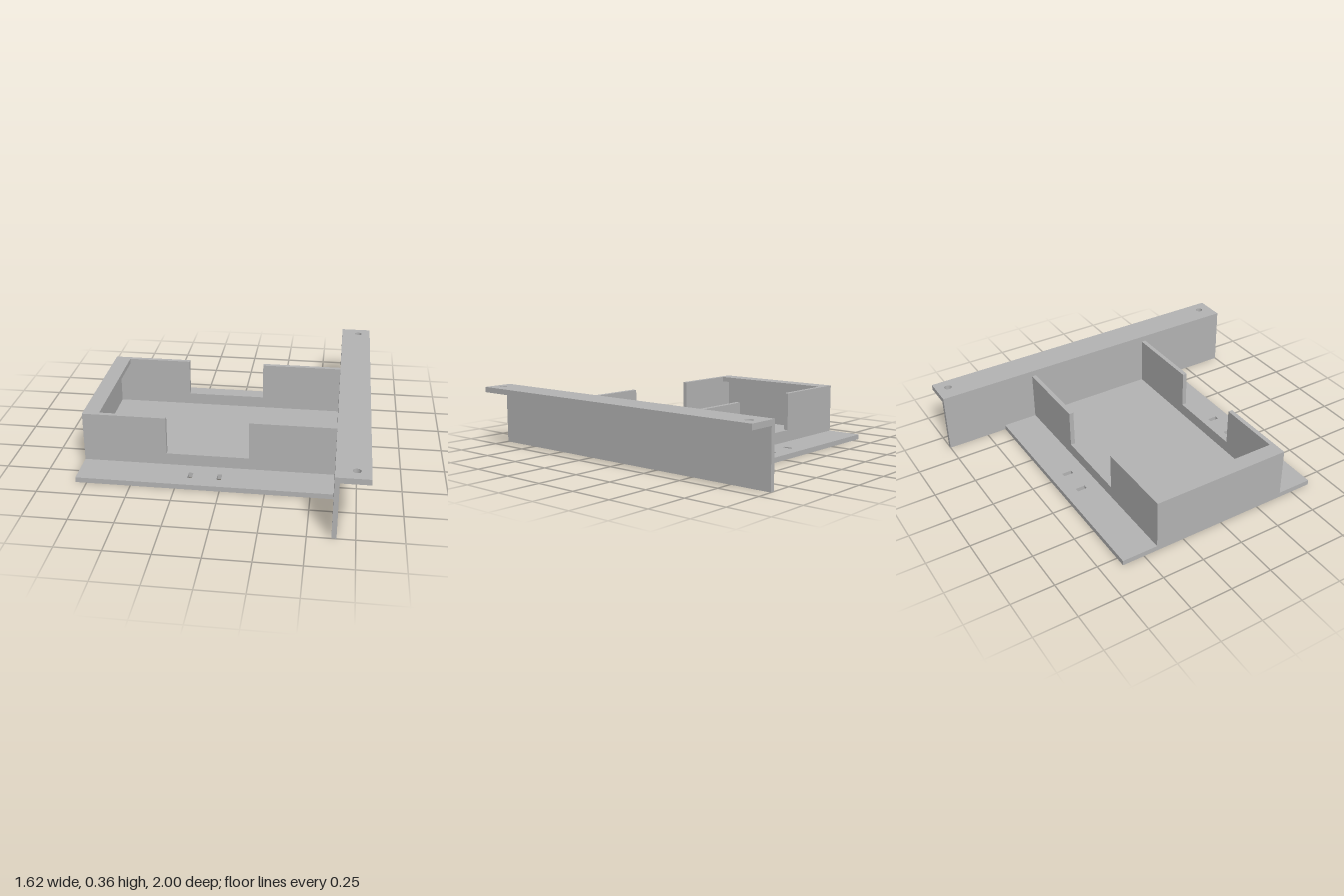
import * as THREE from 'three';

const T = 0.03; // sheet thickness

// Polygon from a list of [x, y] points
function polygon(points) {
  return new THREE.Shape(points.map(([x, y]) => new THREE.Vector2(x, y)));
}

function rectPoints(x0, y0, x1, y1) {
  return [[x0, y0], [x1, y0], [x1, y1], [x0, y1]];
}

// Flat plate lying in xz: shape y is -z, extruded upwards from y0
function flatPlate(shape, y0, thickness) {
  const g = new THREE.ExtrudeGeometry(shape, { depth: thickness, bevelEnabled: false, curveSegments: 24 });
  return g.rotateX(-Math.PI / 2).translate(0, y0, 0);
}

// Box given by its two corners
function boxBetween(x0, y0, z0, x1, y1, z1) {
  return new THREE.BoxGeometry(x1 - x0, y1 - y0, z1 - z0)
    .translate((x0 + x1) / 2, (y0 + y1) / 2, (z0 + z1) / 2);
}

export function createModel() {
  const group = new THREE.Group();
  const grey = new THREE.MeshStandardMaterial({ color: 0xb3b3b3 });
  grey.name = 'plain grey';

  const add = (name, geometry) => {
    const mesh = new THREE.Mesh(geometry, grey);
    mesh.name = name;
    group.add(mesh);
  };

  const left = -0.812, right = 0.627, end = 0.81;
  const zMid = -0.0025, wallTop = 0.323;
  const baseHalf = 0.628, wallOuter = 0.416, wallInner = 0.389;

  // Base plate with two pairs of slots
  const base = polygon(rectPoints(left, -zMid - baseHalf, right, -zMid + baseHalf));
  for (const side of [-1, 1]) {
    for (const x of [-0.177, -0.013]) {
      const y = -zMid + side * 0.5245;
      base.holes.push(polygon(rectPoints(x - 0.013, y - 0.029, x + 0.013, y + 0.029)));
    }
  }
  add('basePlate', flatPlate(base, 0, T));

  // Side walls with a wide notch in the top edge
  const wall = polygon([
    [left, T], [right, T], [right, wallTop], [0.141, wallTop],
    [0.141, 0.1], [-0.332, 0.1], [-0.332, wallTop], [left, wallTop],
  ]);
  for (const [name, z] of [['frontWall', wallInner], ['backWall', -wallOuter]]) {
    const g = new THREE.ExtrudeGeometry(wall, { depth: wallOuter - wallInner, bevelEnabled: false });
    add(name, g.translate(0, 0, zMid + z));
  }

  // End wall and the lip folded in over it
  const z0 = zMid - wallInner, z1 = zMid + wallInner;
  add('endWall', boxBetween(left, T, z0, left + 0.027, wallTop - T, z1));
  add('endLip', boxBetween(left, wallTop - T, z0, -0.718, wallTop, z1));

  // Mounting bracket: upright plate and drilled flange
  add('bracketUpright', boxBetween(right, 0, -1, right + 0.026, 0.326, 1));
  const flange = polygon(rectPoints(right, -1, end, 1));
  for (const z of [-0.927, 0.922]) {
    const hole = new THREE.Path();
    hole.absarc(0.735, -z, 0.022, 0, Math.PI * 2, true);
    flange.holes.push(hole);
  }
  add('bracketFlange', flatPlate(flange, 0.326, 0.032));

  return group;
}
